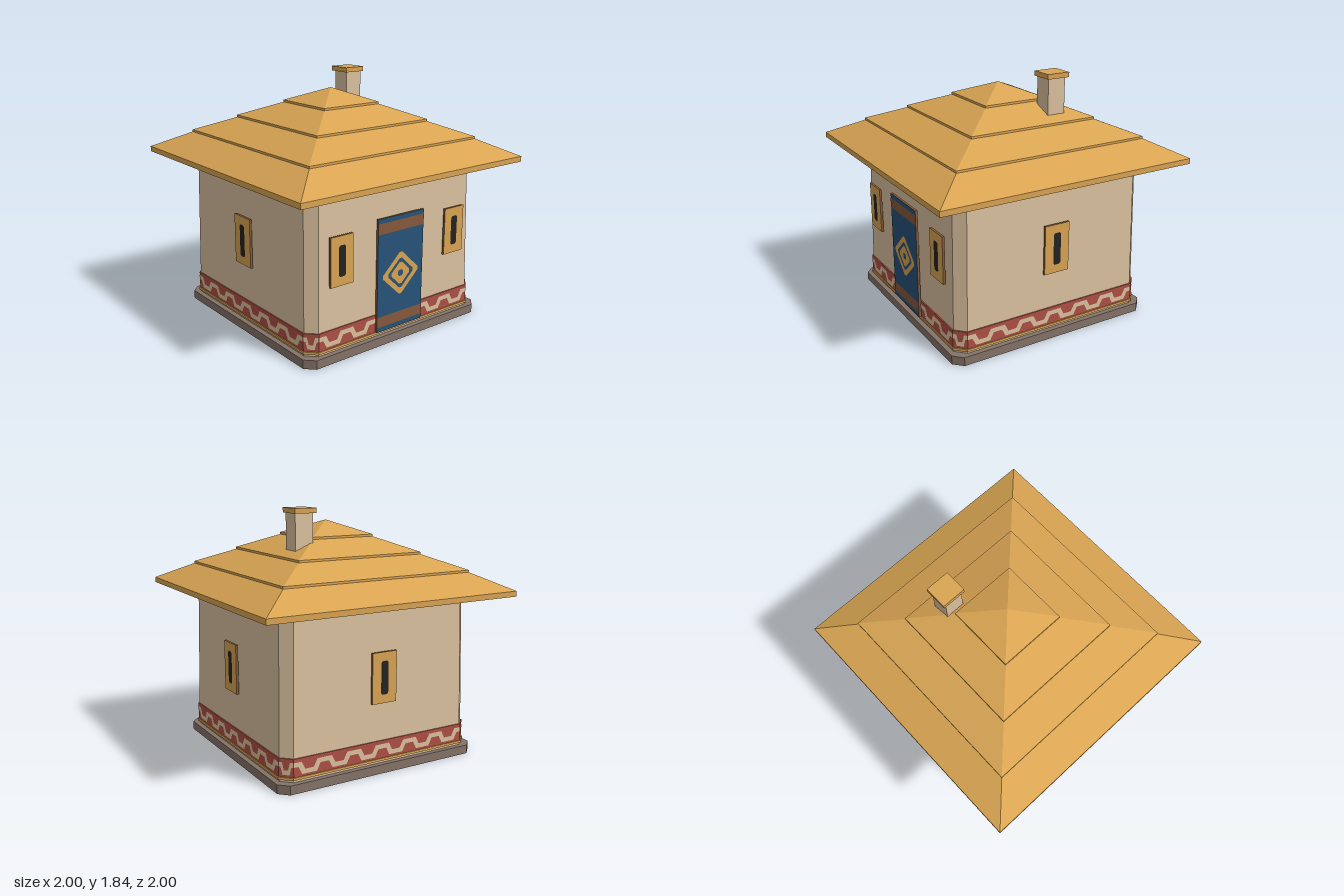
import * as THREE from 'three';
import { ConvexGeometry } from 'three/addons/geometries/ConvexGeometry.js';

const mat = (name, color) => {
  const m = new THREE.MeshStandardMaterial({ color });
  m.name = name;
  return m;
};

export function createModel() {
  const clay = mat('clay', 0xdbc29f);
  const straw = mat('straw', 0xdaa553);
  const wood = mat('wood', 0x865a3b);
  const stone = mat('stone', 0x857368);
  const red = mat('red paint', 0xae5044);
  const blue = mat('blue paint', 0x265279);
  const dark = mat('dark opening', 0x232323);

  const hut = new THREE.Group();
  hut.name = 'hut';

  const add = (name, geometry, material, x = 0, y = 0, z = 0, parent = hut) => {
    const mesh = new THREE.Mesh(geometry, material);
    mesh.name = name;
    mesh.position.set(x, y, z);
    parent.add(mesh);
    return mesh;
  };

  // Square prism with cut corners, optionally tapering upwards
  const prism = (name, material, y0, y1, h0, c0, h1 = h0, c1 = c0) => {
    const points = [];
    for (const [y, h, c] of [[y0, h0, c0], [y1, h1, c1]])
      for (const sx of [-1, 1])
        for (const sz of [-1, 1])
          points.push(
            new THREE.Vector3(sx * h, y, sz * (h - c)),
            new THREE.Vector3(sx * (h - c), y, sz * h));
    return add(name, new ConvexGeometry(points), material);
  };

  const polygon = (pts) => new THREE.Shape(pts.map(([x, y]) => new THREE.Vector2(x, y)));

  // Body, from the ground up
  prism('plinth', stone, 0, 0.065, 0.815, 0.065);
  prism('walls', clay, 0.065, 1.175, 0.776, 0.07, 0.756, 0.07);
  prism('lowerTrim', straw, 0.082, 0.1, 0.788, 0.075);
  prism('paintedBand', red, 0.1, 0.23, 0.782, 0.075);
  prism('wallPlate', wood, 1.172, 1.2, 0.785, 0.07);

  // Stepped pyramid roof with four thatch layers
  const profile = [
    [1, 1.2], [1, 1.24], [0.757, 1.364], [0.757, 1.38],
    [0.507, 1.486], [0.507, 1.502], [0.253, 1.608], [0.253, 1.624], [0, 1.725],
  ].map(([h, y]) => new THREE.Vector2(h * Math.SQRT2, y));
  const roof = new THREE.LatheGeometry(profile, 4, Math.PI / 4).toNonIndexed();
  roof.computeVertexNormals();
  add('thatchRoof', roof, straw);
  add('eavesUnderside', new THREE.PlaneGeometry(2, 2), wood, 0, 1.2, 0).rotation.x = Math.PI / 2;

  // Chimney
  add('chimney', new THREE.BoxGeometry(0.14, 0.3, 0.14), clay, 0.35, 1.65, -0.23);
  add('chimneyCap', new THREE.BoxGeometry(0.17, 0.036, 0.18), straw, 0.35, 1.817, -0.235);

  // Zigzag ribbon of n waves filling the given width, centred on x = 0
  const ribbon = (n, width) => {
    const hi = [], lo = [], p = width / n;
    for (let i = 0; i < n; i++) {
      const wave = (half, yTop, yLow, slope) => [
        [0, yTop], [half, yTop], [half + slope, yLow],
        [1 - half - slope, yLow], [1 - half, yTop], [1, yTop],
      ].map(([u, y]) => [(i + u) * p - width / 2, y]);
      hi.push(...wave(0.24, 0.205, 0.15, 0.12));
      lo.push(...wave(0.14, 0.172, 0.117, 0.12));
    }
    return new THREE.ShapeGeometry(polygon([...lo, ...hi.reverse()]));
  };
  const sideRibbon = ribbon(6, 1.41);
  const cornerRibbon = ribbon(1, 0.104);
  const cornerDistance = (2 * 0.782 - 0.075) / Math.SQRT2;

  // Framed slit window on the +z side of a parent
  const addWindow = (parent, x, y, w, h, slitH) => {
    const frame = new THREE.Group();
    frame.name = 'window';
    frame.position.set(x, y, 0.791);
    parent.add(frame);
    add('windowFrame', new THREE.BoxGeometry(w, h, 0.018),
      [wood, wood, wood, wood, straw, straw], 0, 0, 0, frame);
    const a = 0.03, b = slitH / 2, c = 0.012;
    const slit = polygon([
      [-a + c, -b], [a - c, -b], [a, -b + c], [a, b - c],
      [a - c, b], [-a + c, b], [-a, b - c], [-a, -b + c],
    ]);
    add('windowSlit', new THREE.ShapeGeometry(slit), dark, 0, 0, 0.011, frame);
  };

  // The four sides, starting with the front
  for (let i = 0; i < 4; i++) {
    const side = new THREE.Group();
    side.name = ['frontSide', 'leftSide', 'backSide', 'rightSide'][i];
    side.rotation.y = i * Math.PI / 2;
    hut.add(side);
    add('bandZigzag', sideRibbon, clay, 0, 0, 0.7845, side);

    const corner = new THREE.Group();
    corner.name = 'bandCorner';
    corner.rotation.y = Math.PI / 4;
    side.add(corner);
    add('cornerZigzag', cornerRibbon, clay, 0, 0, cornerDistance + 0.0025, corner);

    if (i === 0) {
      for (const s of [-1, 1]) addWindow(side, s * 0.525, 0.715, 0.19, 0.35, 0.22);
    } else {
      addWindow(side, 0, 0.692, 0.2, 0.365, 0.24);
    }
  }

  // Door with two wooden bands and a diamond emblem
  const door = new THREE.Group();
  door.name = 'door';
  door.position.z = 0.791;
  hut.add(door);
  add('doorPanel', new THREE.BoxGeometry(0.424, 0.835, 0.018),
    [wood, wood, wood, wood, blue, blue], 0, 0.5175, 0, door);
  for (const y of [0.175, 0.863])
    add('doorBand', new THREE.PlaneGeometry(0.424, 0.078), wood, 0, y, 0.011, door);

  // Diamond outline with slightly blunted corners
  const diamond = (r) => {
    const k = 0.012, h = r * 0.95;
    return [[r, -k], [r, k], [k, h], [-k, h], [-r, k], [-r, -k], [-k, -h], [k, -h]];
  };
  for (const [outer, inner] of [[0.165, 0.115], [0.084, 0.024]]) {
    const ring = polygon(diamond(outer));
    ring.holes.push(polygon(diamond(inner).reverse()));
    add('doorDiamond', new THREE.ShapeGeometry(ring), straw, 0, 0.505, 0.011, door);
  }

  return hut;
}
